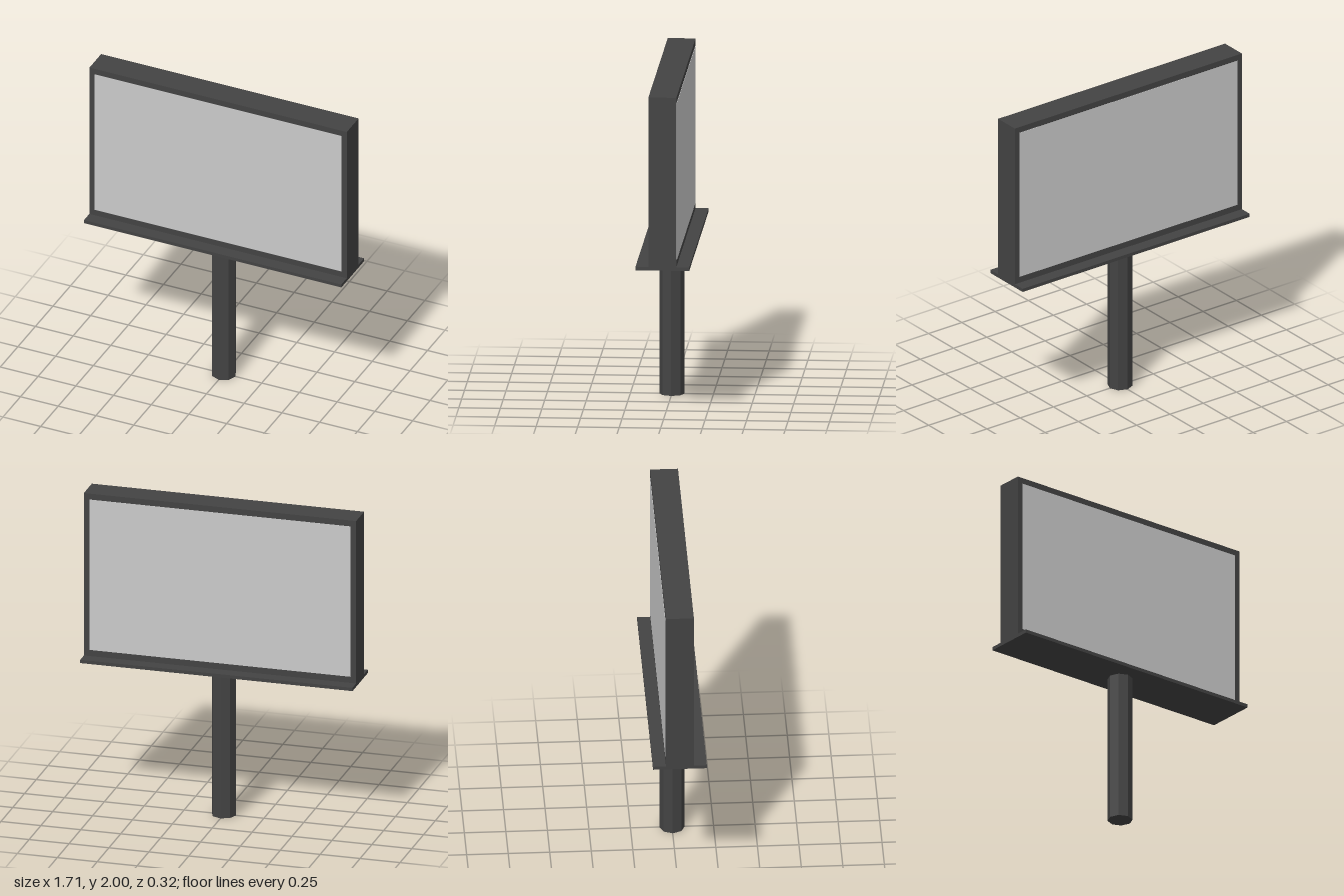
import * as THREE from 'three';

export function createModel() {
  const model = new THREE.Group();
  model.name = 'billboard';

  const darkMetal = new THREE.MeshStandardMaterial({ color: 0x434343, flatShading: true });
  darkMetal.name = 'dark metal';
  const panelGrey = new THREE.MeshStandardMaterial({ color: 0xcacaca, flatShading: true });
  panelGrey.name = 'panel grey';

  function add(name, geometry, material, x, y, z) {
    const mesh = new THREE.Mesh(geometry, material);
    mesh.name = name;
    mesh.position.set(x, y, z);
    model.add(mesh);
    return mesh;
  }

  const width = 1.706, depth = 0.168, bottom = 0.937;

  // Octagonal pole, with corners facing front, back and sides
  add('pole', new THREE.CylinderGeometry(0.076, 0.076, bottom, 8), darkMetal, 0, bottom / 2, 0);

  // Cabinet carrying both display faces
  const height = 2 - bottom;
  add('cabinet', new THREE.BoxGeometry(width, height, depth), darkMetal, 0, bottom + height / 2, 0);

  // Walkway ledges along the front and back, and thin display panels
  const ledgeDepth = 0.162 - depth / 2;
  for (const [side, s] of [['front', 1], ['back', -1]]) {
    add(side + 'Ledge', new THREE.BoxGeometry(width, 0.021, ledgeDepth), darkMetal,
      0, bottom + 0.0105, s * (depth + ledgeDepth) / 2);
    add(side + 'Panel', new THREE.BoxGeometry(1.636, 0.964, 0.004), panelGrey,
      0, 1.48, s * depth / 2);
  }

  return model;
}
